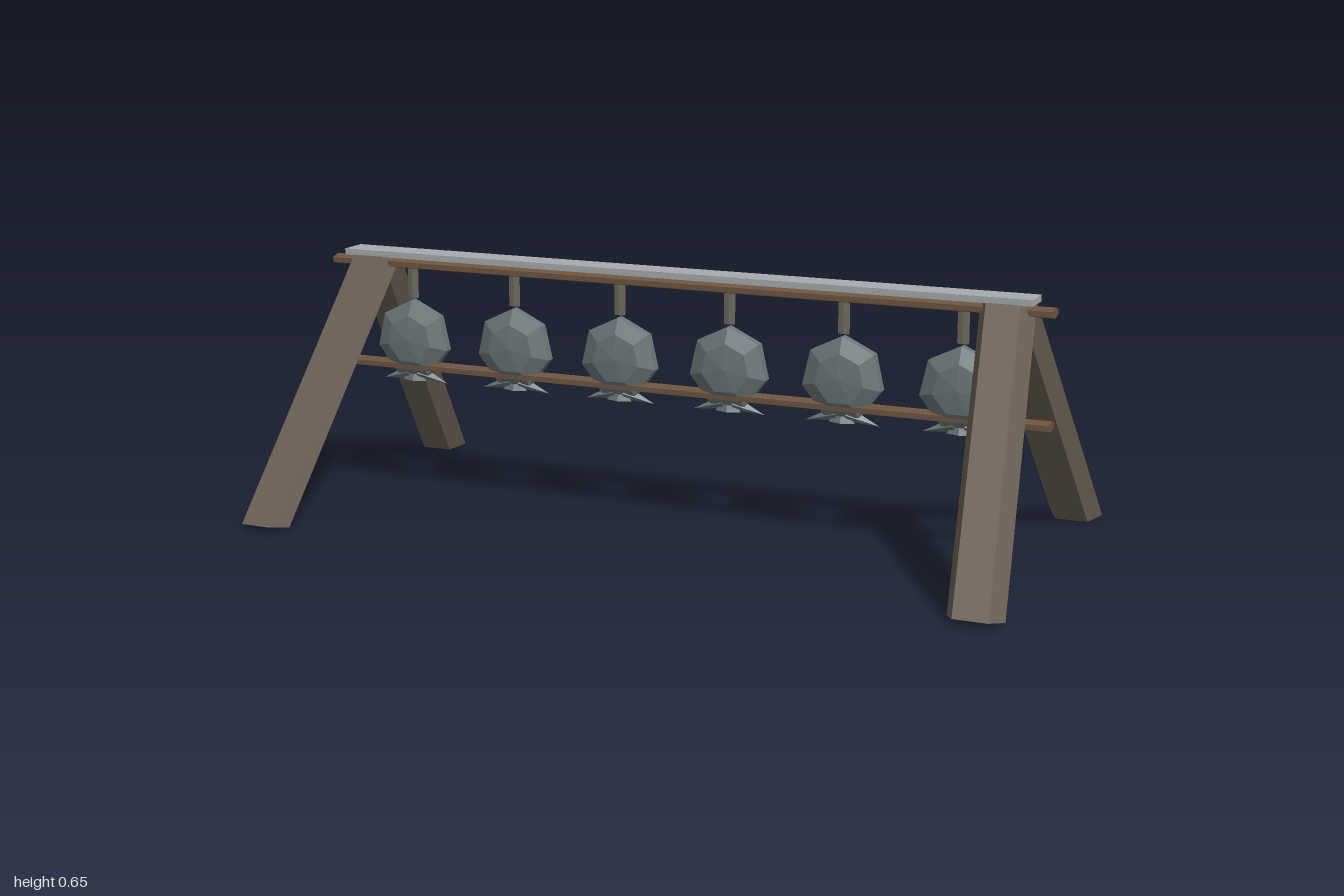
import * as THREE from 'three';

const mat = (color) => new THREE.MeshStandardMaterial({ color, flatShading: true });

export function createModel() {
  const root = new THREE.Group();
  const wood = mat(0x6b5f54), rodWood = mat(0x6e5540), strapMat = mat(0x706b5f);
  const meat = mat(0x6a7679), plank = mat(0xa6abae);

  const add = (parent, name, geo, material, x = 0, y = 0, z = 0) => {
    const m = new THREE.Mesh(geo, material);
    m.name = name;
    m.position.set(x, y, z);
    parent.add(m);
    return m;
  };

  // Five-sided leg, sheared from foot to head; "lift" tilts the cut ends
  const legGeometry = (side, foot, head, lift) => {
    const g = new THREE.CylinderGeometry(1, 1, 1, 5).rotateY(Math.PI).toNonIndexed();
    const p = g.attributes.position;
    for (let i = 0; i < p.count; i++) {
      const t = p.getY(i) + 0.5, d = p.getZ(i);
      const c = new THREE.Vector3().lerpVectors(foot, head, t);
      p.setXYZ(i, side * c.x + p.getX(i) * 0.071, c.y + d * lift, c.z + d * 0.0435);
    }
    g.computeVertexNormals();
    return g;
  };
  const V = (x, y, z) => new THREE.Vector3(x, y, z);
  for (const side of [1, -1]) {
    const s = side > 0 ? 'left' : 'right';
    add(root, s + 'FrontLeg', legGeometry(side, V(0.93, 0.0085, 0.465), V(0.857, 0.633, 0.008), 0.0083), wood);
    add(root, s + 'BackLeg', legGeometry(side, V(0.93, 0.0085, -0.456), V(0.857, 0.638, 0.006), -0.0083), wood);
  }

  // Top board
  add(root, 'topBoard', new THREE.BoxGeometry(1.855, 0.016, 0.078), plank, 0, 0.646, 0.002);

  // Flattened cross rods
  const rodGeo = new THREE.CylinderGeometry(1, 1, 1.945, 6).rotateZ(Math.PI / 2);
  rodGeo.rotateX(Math.PI / 2).scale(1, 0.0135, 0.03);
  rodGeo.computeBoundingBox();
  add(root, 'upperRod', rodGeo, rodWood, 0, 0.62, 0.004);
  add(root, 'lowerRod', rodGeo, rodWood, 0, 0.348, 0.004);

  // Hanging pieces: strap, flattened round body and a spread tail
  const strapGeo = new THREE.CylinderGeometry(0.016, 0.016, 0.085, 6).scale(1, 1, 0.4);
  const bodyGeo = new THREE.SphereGeometry(0.11, 7, 5).rotateX(Math.PI / 2);
  // Turn one corner of the heptagon upwards
  bodyGeo.rotateZ(Math.PI / 2);
  const bp = bodyGeo.attributes.position;
  let top = 0;
  for (let i = 1; i < bp.count; i++) if (bp.getY(i) > bp.getY(top)) top = i;
  bodyGeo.rotateZ(Math.atan2(bp.getX(top), bp.getY(top))).scale(1, 1, 0.35);
  const finGeo = new THREE.ConeGeometry(0.018, 0.085, 4).translate(0, 0.0425, 0);
  const tailGeo = new THREE.ConeGeometry(0.036, 0.045, 5).scale(1, 1, 0.5);

  for (let i = 0; i < 6; i++) {
    const piece = new THREE.Group();
    piece.name = 'hangingPiece' + (i + 1);
    piece.position.set(-0.745 + i * 0.2995, 0, 0.004);
    add(piece, 'strap', strapGeo, strapMat, 0, 0.572, 0);
    add(piece, 'body', bodyGeo, meat, 0, 0.42, 0);
    add(piece, 'tailCentre', tailGeo, meat, 0, 0.331, 0);
    for (const side of [1, -1]) {
      add(piece, side > 0 ? 'tailFinLeft' : 'tailFinRight', finGeo, meat, side * 0.014, 0.33, 0)
        .rotation.z = -side * (Math.PI / 2 + 0.28);
    }
    root.add(piece);
  }
  return root;
}
